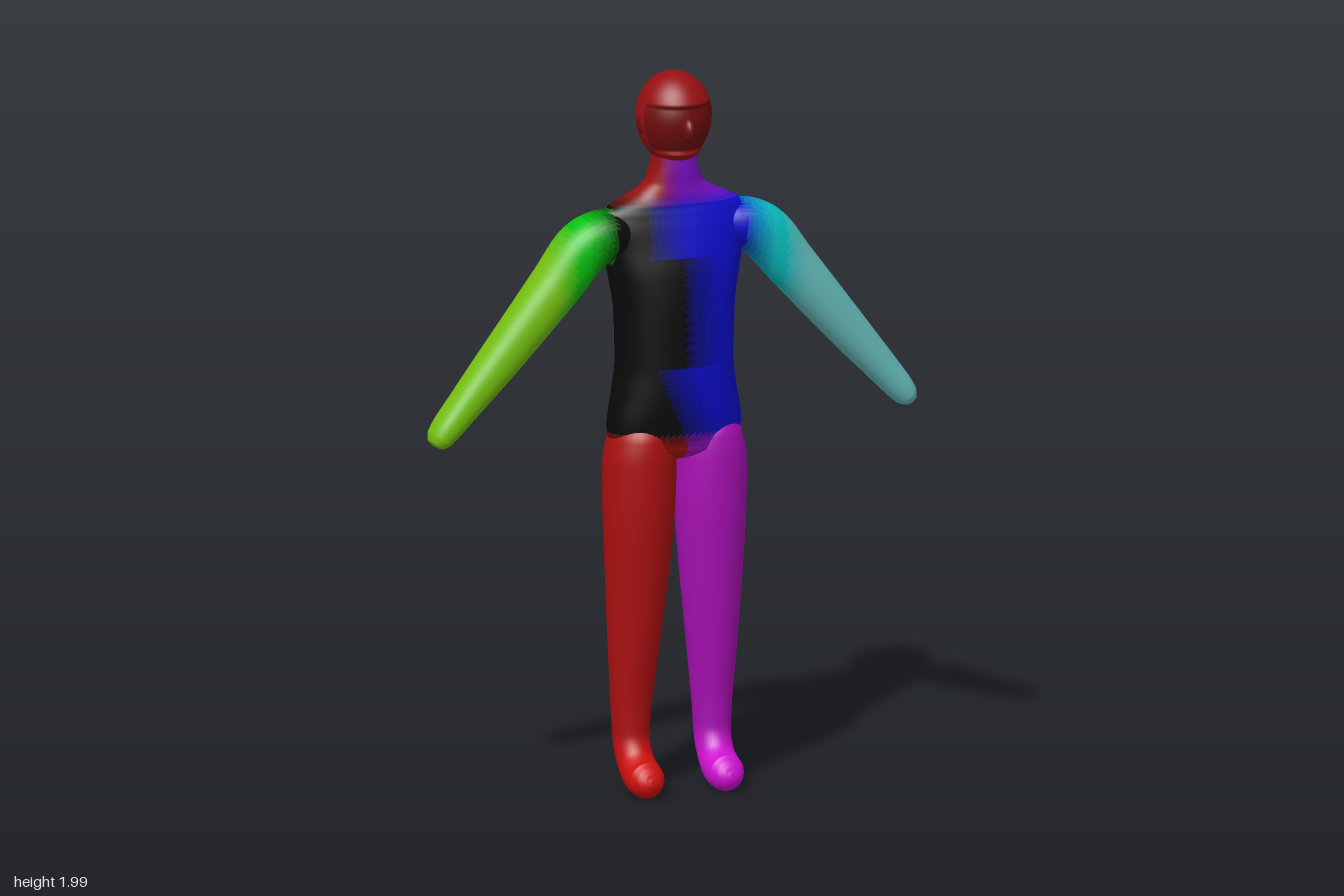
import * as THREE from 'three';

const clamp01 = (v) => Math.min(1, Math.max(0, v));

// Blend two hex colours in a few steps, so each step becomes one plain material
function mix(a, b, t, steps = 6) {
  return new THREE.Color(a).lerp(new THREE.Color(b), Math.round(clamp01(t) * steps) / steps).getHex();
}

// Smooth body from sections [x, y, z, a, b]: a is the half-size along axis u, b across it
function loft(sections, u, rings, sides, power = 2) {
  const path = new THREE.CatmullRomCurve3(sections.map((s) => new THREE.Vector3(s[0], s[1], s[2])));
  const size = new THREE.CatmullRomCurve3(sections.map((s) => new THREE.Vector3(s[3], s[4], 0)));
  const pos = [], index = [];
  const round = (v) => Math.sign(v) * Math.pow(Math.abs(v), 2 / power);
  for (let i = 0; i <= rings; i++) {
    const c = path.getPoint(i / rings), r = size.getPoint(i / rings);
    const v = path.getTangent(i / rings).cross(u).normalize();
    for (let j = 0; j < sides; j++) {
      const th = (j / sides) * Math.PI * 2;
      const p = c.clone()
        .addScaledVector(u, Math.max(r.x, 0.001) * round(Math.cos(th)))
        .addScaledVector(v, Math.max(r.y, 0.001) * round(Math.sin(th)));
      pos.push(p.x, p.y, p.z);
      if (i < rings) {
        const k = (j + 1) % sides, a = i * sides, b = a + sides;
        index.push(a + j, a + k, b + k, a + j, b + k, b + j);
      }
    }
  }
  const g = new THREE.BufferGeometry();
  g.setAttribute('position', new THREE.Float32BufferAttribute(pos, 3));
  g.setIndex(index);
  g.computeVertexNormals();
  return g;
}

// Split a smooth geometry into one mesh per colour, keeping its normals
function paint(name, geometry, colourAt) {
  const group = new THREE.Group();
  group.name = name;
  const flat = geometry.toNonIndexed();
  const p = flat.attributes.position.array, n = flat.attributes.normal.array;
  const regions = new Map();
  for (let f = 0; f < p.length; f += 9) {
    const mid = (k) => (p[f + k] + p[f + 3 + k] + p[f + 6 + k]) / 3;
    const hex = colourAt(mid(0), mid(1), mid(2));
    if (!regions.has(hex)) regions.set(hex, { pos: [], nor: [] });
    const r = regions.get(hex);
    for (let k = f; k < f + 9; k++) {
      r.pos.push(p[k]);
      r.nor.push(n[k]);
    }
  }
  for (const [color, r] of regions) {
    const g = new THREE.BufferGeometry();
    g.setAttribute('position', new THREE.Float32BufferAttribute(r.pos, 3));
    g.setAttribute('normal', new THREE.Float32BufferAttribute(r.nor, 3));
    const mesh = new THREE.Mesh(g, new THREE.MeshStandardMaterial({ color }));
    mesh.name = name + 'Region';
    group.add(mesh);
  }
  return group;
}

const X = new THREE.Vector3(1, 0, 0), Z = new THREE.Vector3(0, 0, 1);
const BLACK = 0x0a0a0a, BLUE = 0x0c0cc8, HEAD = 0x961012, FACE = 0x6e0c0e;
const SIDES = [
  { side: 'left', s: 1, body: BLUE, shoulder: 0x08c0c0, arm: 0x66baba, leg: 0xa810b4, foot: 0xd010d0 },
  { side: 'right', s: -1, body: BLACK, shoulder: 0x08c010, arm: 0x74c010, leg: 0xac1010, foot: 0xd01010 },
];

// Torso, shoulders and neck
function makeTorso() {
  const profile = [ // y, z, half width, half depth
    [0.935, 0, 0.13, 0.05], [0.96, 0, 0.185, 0.093], [1.04, -0.004, 0.188, 0.112],
    [1.12, -0.004, 0.174, 0.12], [1.2, -0.003, 0.164, 0.121], [1.35, -0.004, 0.168, 0.12],
    [1.45, -0.008, 0.185, 0.114], [1.52, -0.01, 0.2, 0.1], [1.58, -0.01, 0.218, 0.084],
    [1.62, -0.01, 0.212, 0.071], [1.648, -0.01, 0.165, 0.064], [1.672, -0.008, 0.112, 0.06],
    [1.7, -0.006, 0.08, 0.059], [1.74, -0.004, 0.066, 0.06], [1.79, 0, 0.058, 0.056],
  ];
  const g = loft(profile.map(([y, z, a, b]) => [0, y, z, a, b]), X, 84, 72, 2.2);
  return paint('torso', g, (x, y) => {
    // Wavering line between the two halves
    const edge = y > 1.5 ? -0.11 : y > 1.2 ? -0.02 : -0.1 + (1.2 - y) * 0.4;
    const body = mix(BLACK, BLUE, (x - edge) / 0.12);
    const tone = x > 0 ? SIDES[0] : SIDES[1];
    if (y < 1.02) return mix(tone.leg, body, (y - 0.95) / 0.07, 4);
    if (y > 1.635) {
      const neck = mix(0x961010, 0x7a10c4, (x + 0.06) / 0.06, 4);
      return mix(body, neck, (y - 1.635) / 0.04, 4);
    }
    if (y > 1.48) return mix(body, tone.shoulder, (Math.abs(x) - 0.175) / 0.1, 5);
    return body;
  });
}

// Arm with a rounded mitten end
function makeArm({ side, s, body, shoulder, arm }) {
  const sections = [
    [0.13, 1.562, -0.01, 0.06, 0.055], [0.2, 1.56, -0.011, 0.08, 0.069],
    [0.26, 1.53, -0.012, 0.08, 0.075], [0.34, 1.435, -0.012, 0.074, 0.07],
    [0.43, 1.328, -0.013, 0.067, 0.063], [0.52, 1.222, -0.015, 0.06, 0.055],
    [0.6, 1.13, -0.016, 0.053, 0.046], [0.66, 1.06, -0.017, 0.049, 0.039],
    [0.68, 1.035, -0.017, 0.044, 0.033], [0.692, 1.02, -0.017, 0.03, 0.02],
    [0.695, 1.016, -0.017, 0.001, 0.001],
  ];
  const g = loft(sections.map(([x, ...rest]) => [x * s, ...rest]), Z, 60, 32, 2.2);
  return paint(side + 'Arm', g, (x) => {
    const d = Math.abs(x);
    return d < 0.28 ? mix(body, shoulder, (d - 0.18) / 0.09) : mix(shoulder, arm, (d - 0.3) / 0.07);
  });
}

// Leg running down into a forward-turned foot
function makeLeg({ side, s, leg, foot }) {
  const sections = [
    [0.1, 1.06, 0, 0.06, 0.07], [0.1, 1.0, -0.002, 0.088, 0.1],
    [0.102, 0.93, 0, 0.1, 0.103], [0.104, 0.8, 0, 0.099, 0.097],
    [0.108, 0.6, -0.005, 0.087, 0.08], [0.114, 0.4, -0.014, 0.07, 0.066],
    [0.118, 0.22, -0.022, 0.054, 0.054], [0.118, 0.145, -0.018, 0.05, 0.053],
    [0.117, 0.092, 0.012, 0.05, 0.052], [0.116, 0.064, 0.055, 0.053, 0.052],
    [0.116, 0.058, 0.09, 0.05, 0.05], [0.116, 0.06, 0.115, 0.036, 0.036],
    [0.116, 0.062, 0.125, 0.018, 0.018], [0.116, 0.063, 0.128, 0.001, 0.001],
  ];
  const g = loft(sections.map(([x, ...rest]) => [x * s, ...rest]), X, 78, 32);
  return paint(side + 'Leg', g, (x, y) => mix(foot, leg, (y - 0.1) / 0.08));
}

// Egg-shaped head with a set-back face below the brow
function makeHead() {
  const group = new THREE.Group();
  group.name = 'head';
  const g = new THREE.SphereGeometry(1, 56, 56);
  const p = g.attributes.position;
  for (let i = 0; i < p.count; i++) {
    const h = p.getY(i);
    const taper = h < 0 ? 1 - 0.12 * h * h : 1;
    const y = 1.875 + h * (h > 0 ? 0.125 : 0.135);
    let z = p.getZ(i) * 0.115 * taper - 0.003;
    if (y < 1.922 && y > 1.79 && z > 0.02) z -= 0.012 * clamp01((z - 0.02) / 0.03);
    p.setXYZ(i, p.getX(i) * 0.103 * taper, y, z);
  }
  g.computeVertexNormals();
  group.add(paint('skull', g, (x, y, z) => (y < 1.922 && y > 1.79 && z > 0.025 ? FACE : HEAD)));
  const bump = (name, x, y, z, sx, sy, sz) => {
    const m = new THREE.Mesh(new THREE.SphereGeometry(1, 20, 16), new THREE.MeshStandardMaterial({ color: FACE }));
    m.name = name;
    m.position.set(x, y, z);
    m.scale.set(sx, sy, sz);
    group.add(m);
  };
  bump('nose', 0, 1.857, 0.1, 0.018, 0.033, 0.028);
  for (const { side, s } of SIDES) bump(side + 'Ear', 0.096 * s, 1.86, 0, 0.01, 0.028, 0.017);
  return group;
}

export function createModel() {
  const model = new THREE.Group();
  model.name = 'figure';
  model.add(makeTorso(), makeHead());
  for (const tone of SIDES) model.add(makeArm(tone), makeLeg(tone));
  return model;
}
